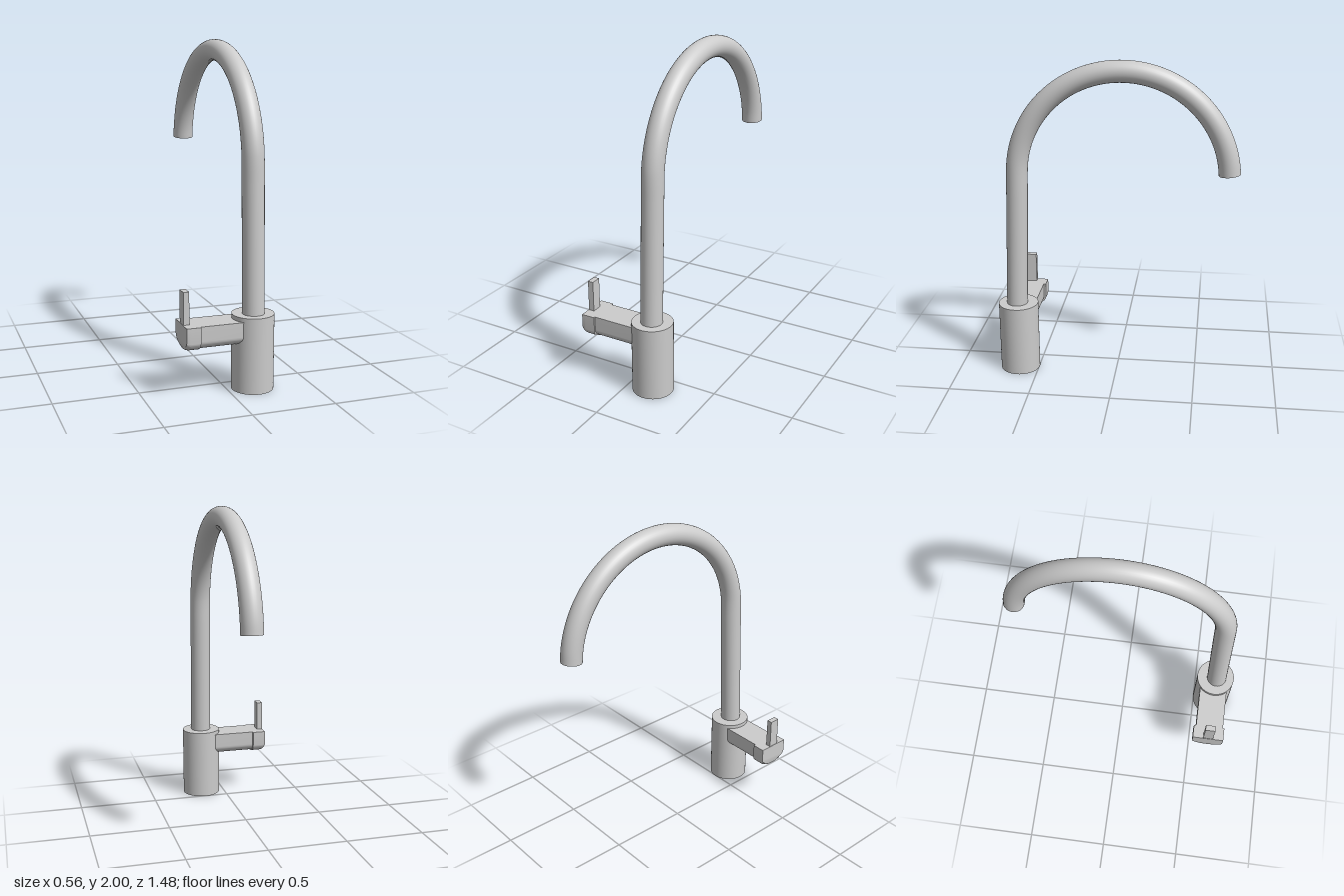
import * as THREE from 'three';
import { toCreasedNormals } from 'three/addons/utils/BufferGeometryUtils.js';

const X = 0.152, Z = 0.62;                     // axis of the body
const PIPE_R = 0.065, BEND_R = 0.637, BEND_Y = 1.298, BEND_Z = -0.038;
const TOP = 0.425;                             // flat top of the handle arm

// Flat-topped profile with a half-round underside, extruded towards -x
function dBar(halfWidth, height, length, steps) {
  const mid = TOP - height * 0.6;
  const shape = new THREE.Shape();
  shape.moveTo(halfWidth, TOP);
  shape.lineTo(-halfWidth, TOP);
  shape.lineTo(-halfWidth, mid);
  shape.absellipse(0, mid, halfWidth, mid - TOP + height, Math.PI, Math.PI * 2, false);
  shape.closePath();
  const geo = new THREE.ExtrudeGeometry(shape, { depth: length, steps, bevelEnabled: false, curveSegments: 24 });
  return geo;
}

export function createModel() {
  const group = new THREE.Group();
  const material = new THREE.MeshStandardMaterial({ color: 0xcccccc });
  const doubleSided = new THREE.MeshStandardMaterial({ color: 0xcccccc, side: THREE.DoubleSide });
  const add = (name, geometry, x, y, z, mat = material) => {
    const mesh = new THREE.Mesh(geometry, mat);
    mesh.name = name;
    mesh.position.set(x, y, z);
    group.add(mesh);
    return mesh;
  };

  // Body
  add('body', new THREE.CylinderGeometry(0.124, 0.124, 0.45, 48), X, 0.225, Z);

  // Spout: slightly leaning riser, then a half-circle bend
  const points = [];
  const start = THREE.MathUtils.degToRad(2), end = THREE.MathUtils.degToRad(176.5);
  const bend = (a) => new THREE.Vector3(X, BEND_Y + BEND_R * Math.sin(a), BEND_Z + BEND_R * Math.cos(a));
  const foot = new THREE.Vector3(X, 0.43, 0.628);
  for (let i = 0; i < 8; i++) points.push(foot.clone().lerp(bend(start), i / 8));
  for (let i = 0; i <= 32; i++) points.push(bend(start + (end - start) * i / 32));
  const path = new THREE.CatmullRomCurve3(points);
  add('spout', new THREE.TubeGeometry(path, 110, PIPE_R, 32), 0, 0, 0);
  add('spoutBore', new THREE.TubeGeometry(path, 110, PIPE_R - 0.01, 32), 0, 0, 0, doubleSided);

  // Rim closing the wall of the spout at its outlet
  const tip = bend(end);
  const rim = add('outletRim', new THREE.RingGeometry(PIPE_R - 0.01, PIPE_R, 32), tip.x, tip.y, tip.z, doubleSided);
  rim.lookAt(tip.clone().add(path.getTangentAt(1)));

  // Handle arm, running from inside the body out to the cap
  const arm = add('handleArm', toCreasedNormals(dBar(0.09, 0.145, 0.31, 1), 0.6), 0.1, 0, 0.615);
  arm.rotation.y = -Math.PI / 2;

  // Handle cap, with its outer lower edge rounded off
  const capLength = 0.085, round = 0.03;
  const capGeo = dBar(0.102, 0.15, capLength, 12);
  const pos = capGeo.attributes.position;
  for (let i = 0; i < pos.count; i++) {
    const t = Math.max(0, (pos.getZ(i) - capLength + round) / round);
    const scale = 1 - 0.14 * (1 - Math.sqrt(Math.max(0, 1 - t * t)));
    pos.setY(i, TOP + (pos.getY(i) - TOP) * scale);
  }
  const cap = add('handleCap', toCreasedNormals(capGeo, 0.6), -0.195, 0, 0.613);
  cap.rotation.y = -Math.PI / 2;

  // Upright lever
  add('lever', new THREE.BoxGeometry(0.035, 0.235, 0.065), -0.26, 0.498, 0.613);

  return group;
}
